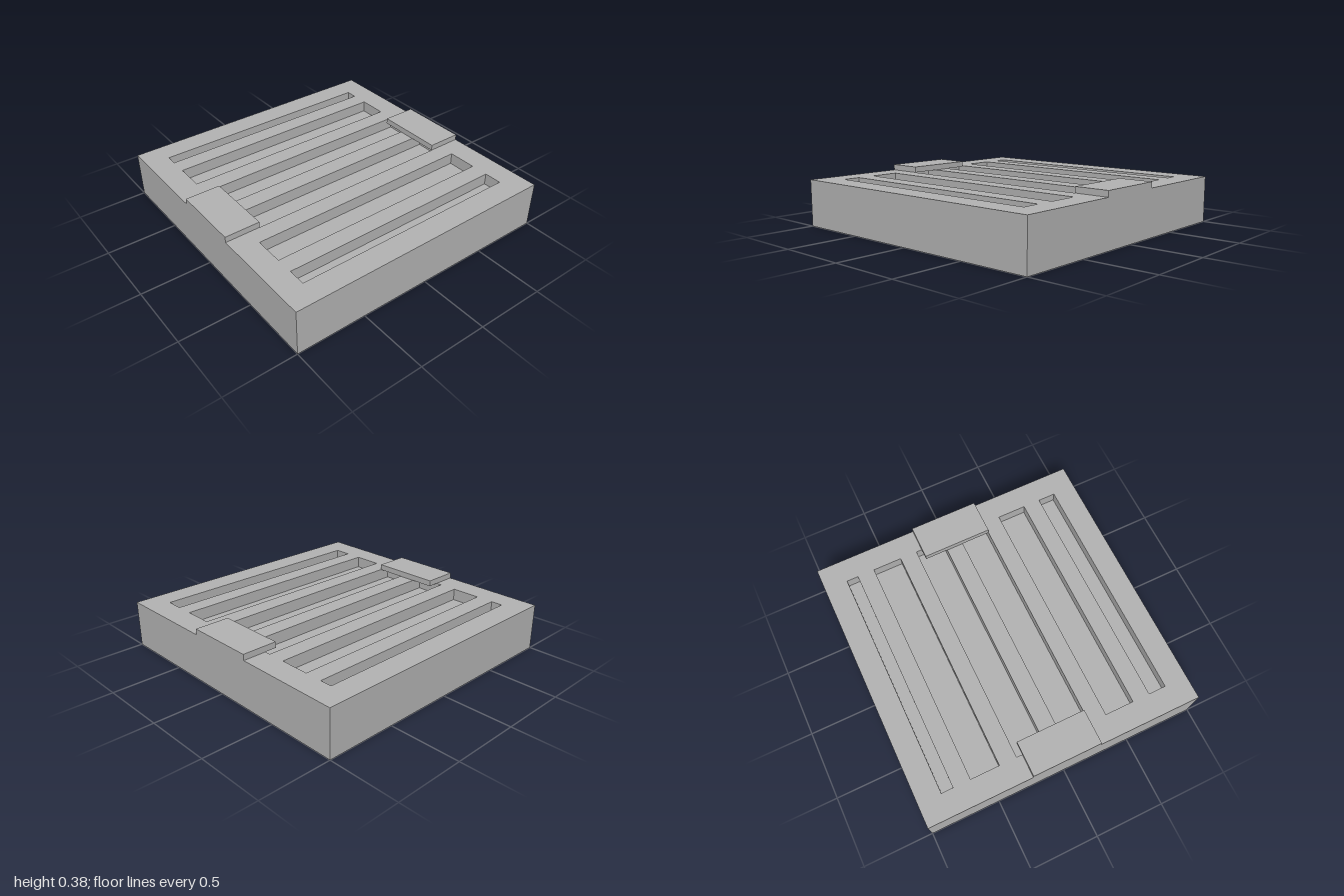
import * as THREE from 'three';

const U = 1 / 24; // modelling unit

// Rectangle outline seen from above, in units (x0..x1, z0..z1)
function rect(PathType, x0, x1, z0, z1) {
  const p = new PathType();
  p.moveTo(x0 * U, -z1 * U);
  p.lineTo(x1 * U, -z1 * U);
  p.lineTo(x1 * U, -z0 * U);
  p.lineTo(x0 * U, -z0 * U);
  p.closePath();
  return p;
}

// Square layer between two heights, pierced by rectangular holes
function layer(name, y0, y1, holes, material) {
  const shape = rect(THREE.Shape, -24, 24, -24, 24);
  for (const h of holes) shape.holes.push(rect(THREE.Path, ...h));
  const geo = new THREE.ExtrudeGeometry(shape, { depth: (y1 - y0) * U, bevelEnabled: false });
  geo.rotateX(-Math.PI / 2);
  geo.translate(0, y0 * U, 0);
  const mesh = new THREE.Mesh(geo, material);
  mesh.name = name;
  return mesh;
}

export function createModel() {
  const group = new THREE.Group();
  group.name = 'slottedBlock';
  const grey = new THREE.MeshStandardMaterial({ color: 0xb3b3b3 });
  grey.name = 'grey';

  // Base with a square socket underneath, solid core, slotted top
  const slots = [[-20, -18], [-15, -10], [-7, -2], [1, 6], [9, 14], [17, 20]];
  group.add(layer('base', 0, 4, [[-8, 8, -8, 8]], grey));
  group.add(layer('core', 4, 6, [], grey));
  group.add(layer('slottedTop', 6, 8, slots.map(([a, b]) => [-20, 20, a, b]), grey));

  // Raised tabs on both sides
  for (const side of [-1, 1]) {
    const tab = new THREE.Mesh(new THREE.BoxGeometry(6 * U, U, 12 * U), grey);
    tab.name = side > 0 ? 'leftTab' : 'rightTab';
    tab.position.set(side * 21 * U, 8.5 * U, 0);
    group.add(tab);
  }
  return group;
}
